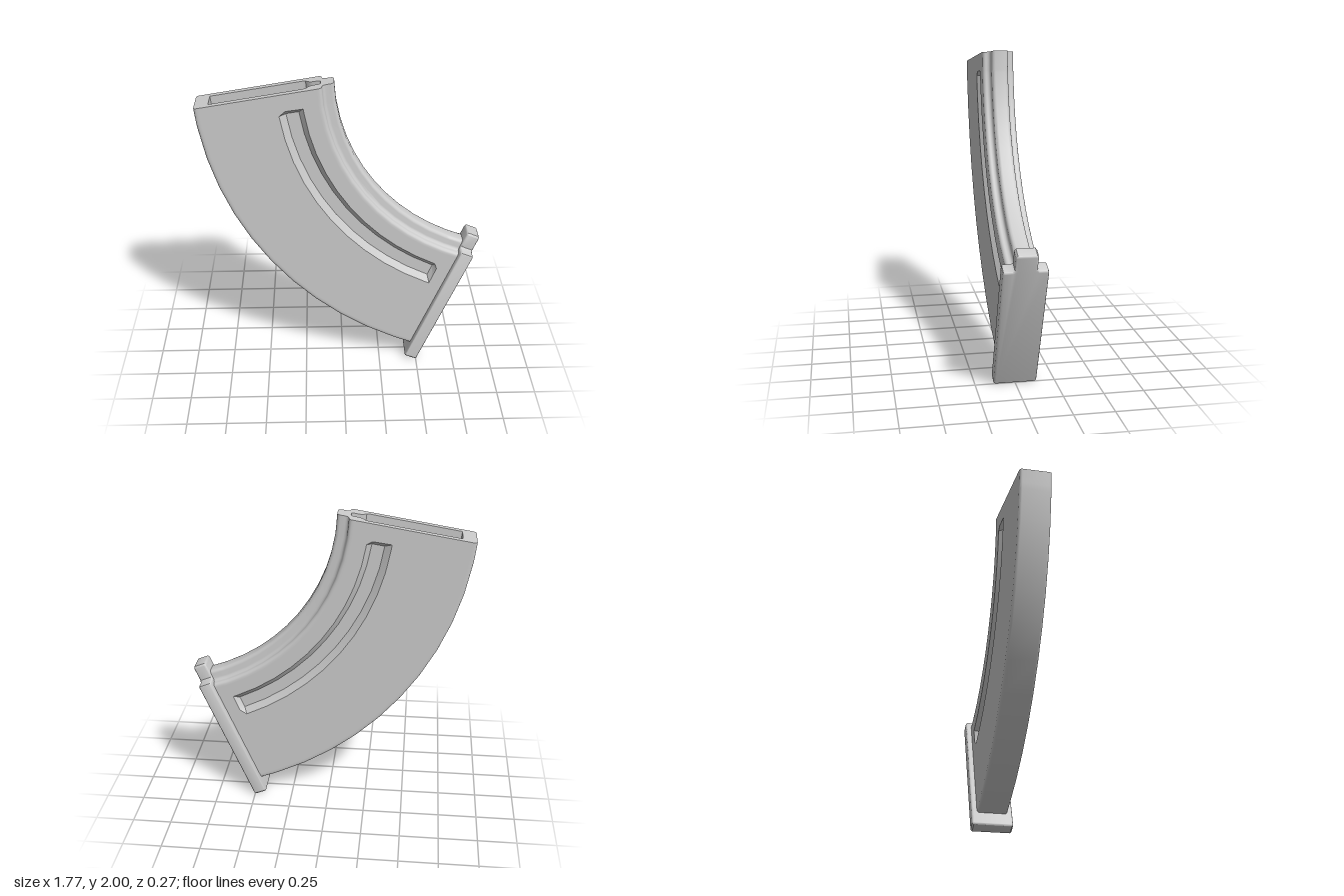
import * as THREE from 'three';
import { toCreasedNormals } from 'three/addons/utils/BufferGeometryUtils.js';

const CX = 1.157, CY = 2.048; // centre of the curve
const rad = THREE.MathUtils.degToRad;

// Point on the curved body: radius, angle below the horizontal (radians), depth
const place = (r, a, z) => [CX - r * Math.cos(a), CY - r * Math.sin(a), z];

// A station gives the angle at each radius; the two ends are flat cuts
const topCut = r => rad(9.2) + Math.asin(-0.147 / r);
const bottomCut = r => rad(67.5) + Math.asin(0.1 / r);
const radial = deg => () => rad(deg);

// Mirror half a section [r, z, groove flag] into a closed loop
const mirror = half => [
  ...[...half].reverse(),
  ...half.map(([r, z, g]) => [r, -z, g]),
];

// Sweep a closed section through stations { angle, depth }
function sweep(section, stations) {
  const pos = [], index = [], n = section.length;
  for (const { angle, depth } of stations)
    for (const [r, z, g] of section)
      pos.push(...place(r, angle(r), z - (g ? Math.sign(z) * depth : 0)));
  for (let j = 0; j < stations.length - 1; j++)
    for (let i = 0; i < n; i++) {
      const a = j * n + i, b = j * n + (i + 1) % n;
      index.push(a, a + n, b, b, a + n, b + n);
    }
  const geo = new THREE.BufferGeometry();
  geo.setAttribute('position', new THREE.Float32BufferAttribute(pos, 3));
  geo.setIndex(index);
  return toCreasedNormals(geo, 0.57);
}

// Flat face across a section, with an optional hole
function cap(section, angle, hole, flip) {
  const points = s => s.map(([r, z]) => new THREE.Vector2(r, z));
  const shape = new THREE.Shape(points(section));
  if (hole) shape.holes.push(new THREE.Path(points(hole)));
  const geo = new THREE.ShapeGeometry(shape);
  const p = geo.attributes.position;
  for (let i = 0; i < p.count; i++) {
    const r = p.getX(i);
    p.setXYZ(i, ...place(r, angle(r), p.getY(i)));
  }
  if (flip) geo.index.array.reverse();
  geo.computeVertexNormals();
  return geo;
}

export function createModel() {
  const model = new THREE.Group();
  const grey = new THREE.MeshStandardMaterial({ color: 0xcccccc });
  grey.name = 'lightGrey';
  const add = (name, geo) => {
    const mesh = new THREE.Mesh(geo, grey);
    mesh.name = name;
    model.add(mesh);
  };

  // Body section: rounded rib, shoulder, side with groove, rounded outer edge
  const body = mirror([
    [1.208, 0.03], [1.211, 0.041], [1.219, 0.049], [1.23, 0.052],
    [1.26, 0.052], [1.271, 0.055], [1.279, 0.063], [1.282, 0.074],
    [1.282, 0.08], [1.285, 0.0895], [1.292, 0.097], [1.302, 0.1], [1.315, 0.1],
    [1.405, 0.1], [1.436, 0.1, 1], [1.514, 0.1, 1], [1.555, 0.1],
    [2.02, 0.1], [2.034, 0.1], [2.043, 0.0975], [2.0487, 0.0918], [2.051, 0.083],
  ]);
  const cavity = mirror([
    [1.29, 0.018], [1.302, 0.026], [1.345, 0.028], [1.365, 0.04], [1.38, 0.058],
    [1.4, 0.062], [1.964, 0.062],
  ]);

  // Stations along the body; the groove sinks between its sloped ends
  const stations = [{ angle: topCut, depth: 0 }, { angle: radial(7.7), depth: 0 }];
  for (let i = 0; i <= 10; i++)
    stations.push({ angle: radial(8.7 + i * 5.79), depth: 0.03 });
  stations.push({ angle: radial(67.7), depth: 0 }, { angle: bottomCut, depth: 0 });
  add('curvedBody', sweep(body, stations));
  add('topRim', cap(body, topCut, cavity));
  add('bodyEnd', cap(body, bottomCut, null, true));

  // Hollow open at the top
  const inner = [topCut, radial(8), radial(12.5), radial(17)].map(angle => ({ angle, depth: 0 }));
  add('cavityWalls', sweep([...cavity].reverse(), inner));
  add('cavityFloor', cap(cavity, radial(17)));

  // Base plate with a narrower tab at the inner end
  const half = [
    [0, 0.125], [0.01, 0.135], [0.88, 0.135], [0.891, 0.131], [0.895, 0.12],
    [0.895, 0.078], [0.904, 0.066], [0.995, 0.066], [1.007, 0.056],
  ];
  const outline = mirror(half).map(([s, z]) => new THREE.Vector2(s, z));
  const bevel = 0.012, thickness = 0.087;
  const plate = new THREE.ExtrudeGeometry(new THREE.Shape(outline), {
    depth: thickness - 2 * bevel, bevelThickness: bevel, bevelSize: bevel,
    bevelOffset: -bevel, bevelSegments: 3,
  });
  plate.translate(0, 0, bevel);
  const t = rad(67.5);
  plate.applyMatrix4(new THREE.Matrix4().makeBasis(
    new THREE.Vector3(Math.cos(t), Math.sin(t), 0),
    new THREE.Vector3(0, 0, 1),
    new THREE.Vector3(Math.sin(t), -Math.cos(t), 0),
  ).setPosition(0.421, 0.034, 0));
  add('basePlate', toCreasedNormals(plate, 0.7));

  return model;
}
